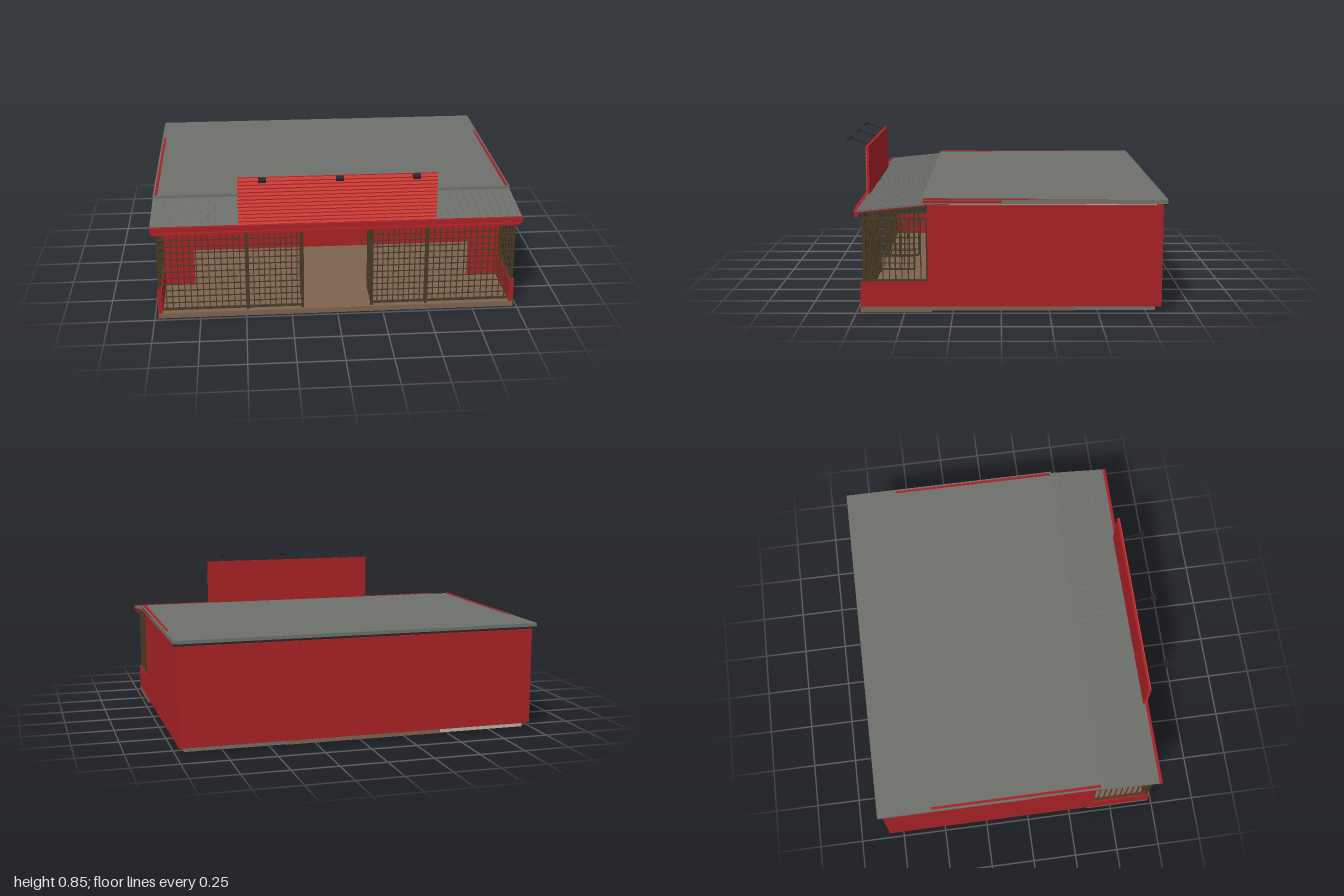
import * as THREE from 'three';

const material = (name, color, side = THREE.FrontSide) => {
  const m = new THREE.MeshStandardMaterial({ color, side });
  m.name = name;
  return m;
};

export function createModel() {
  const red = material('barn red', 0xa82125);
  const signRed = material('bright red', 0xd93c37);
  const grey = material('roof grey', 0x6e716b);
  const brown = material('floor brown', 0x7c6350);
  const beige = material('interior beige', 0xbfb29d);
  const iron = material('grille brown', 0x4a3924);
  const dark = material('fixture black', 0x242627);

  const model = new THREE.Group();
  model.name = 'storefront';

  // Box given by its minimum and maximum on each axis
  function box(name, mat, x0, x1, y0, y1, z0, z1, parent = model) {
    const mesh = new THREE.Mesh(new THREE.BoxGeometry(x1 - x0, y1 - y0, z1 - z0), mat);
    mesh.position.set((x0 + x1) / 2, (y0 + y1) / 2, (z0 + z1) / 2);
    mesh.name = name;
    parent.add(mesh);
    return mesh;
  }
  // Same box on both sides of x = 0
  function pair(name, mat, x0, x1, ...rest) {
    box(name, mat, x0, x1, ...rest);
    box(name, mat, -x1, -x0, ...rest);
  }
  // Sloped slab running between two (z, y) points on its centre line
  function slab(name, mat, x0, x1, za, ya, zb, yb, t, parent = model) {
    const mesh = new THREE.Mesh(
      new THREE.BoxGeometry(x1 - x0, t, Math.hypot(zb - za, yb - ya)), mat);
    mesh.position.set((x0 + x1) / 2, (ya + yb) / 2, (za + zb) / 2);
    mesh.rotation.x = -Math.atan2(yb - ya, zb - za);
    mesh.name = name;
    parent.add(mesh);
    return mesh;
  }

  // Floor, with separate slabs in the two back corners
  box('porchFloor', brown, -0.98, 0.98, 0, 0.03, 0.36, 0.73);
  box('mainFloor', brown, -0.95, 0.95, 0, 0.03, -0.38, 0.36);
  box('backFloor', brown, -0.46, 0.41, 0, 0.03, -0.8, -0.38);
  box('greySlab', grey, 0.41, 0.95, 0.003, 0.03, -0.8, -0.38);
  box('paleSlab', beige, -0.95, -0.46, 0.003, 0.03, -0.8, -0.38);

  // Walls with one wide low opening in the front
  pair('sideWall', red, 0.955, 0.98, 0.03, 0.56, -0.83, 0.38);
  box('backWall', red, -0.955, 0.955, 0.03, 0.56, -0.83, -0.805);
  pair('frontWall', red, 0.79, 0.955, 0.03, 0.56, 0.355, 0.38);
  box('frontHeader', red, -0.79, 0.79, 0.24, 0.56, 0.355, 0.38);
  box('backLining', beige, -0.95, 0.95, 0.03, 0.55, -0.805, -0.798);
  pair('sideLining', beige, 0.948, 0.955, 0.03, 0.55, -0.798, 0.355);

  // Main roof with tapering red edge boards
  slab('mainRoof', grey, -1, 1, -0.85, 0.583, 0.41, 0.581, 0.022);
  box('rearGutter', dark, -1, 1, 0.566, 0.576, -0.854, -0.825);
  slab('edgeBoard', red, 0.976, 0.99, -0.64, 0.584, 0.4, 0.59, 0.018);
  slab('edgeBoard', red, -0.99, -0.976, -0.64, 0.584, 0.4, 0.59, 0.018);
  pair('roofSideTrim', red, 0.99, 1.001, 0.578, 0.59, 0, 0.4);

  // Ribbed porch roof
  const porch = new THREE.Group();
  porch.name = 'porchRoof';
  model.add(porch);
  slab('porchSheet', grey, -1, 1, 0.39, 0.572, 0.745, 0.536, 0.01, porch);
  for (let i = 0; i <= 48; i++) {
    const x = -0.985 + i * 1.97 / 48;
    slab('roofRib', grey, x - 0.007, x + 0.007, 0.41, 0.576, 0.74, 0.542, 0.006, porch);
  }
  slab('porchLining', red, -0.98, 0.98, 0.39, 0.563, 0.735, 0.527, 0.008, porch);
  for (let i = 0; i <= 12; i++) {
    const x = -0.96 + i * 0.16;
    slab('rafter', iron, x - 0.006, x + 0.006, 0.39, 0.553, 0.73, 0.519, 0.012, porch);
  }
  box('fascia', red, -1, 1, 0.518, 0.546, 0.735, 0.752);
  box('lowerFascia', red, -0.99, 0.99, 0.5, 0.511, 0.733, 0.75);
  box('frontBeam', iron, -0.97, 0.97, 0.49, 0.52, 0.704, 0.716);

  // Low porch side walls
  pair('porchSideWall', red, 0.955, 0.98, 0.03, 0.16, 0.38, 0.727);

  // Framed grille in a local x-y plane
  function grille(name, w, y0, y1, nx, ny, frame = 0.011) {
    const g = new THREE.Group();
    g.name = name;
    const f = frame / 2, b = 0.0025;
    for (const x of [0, w]) box('frameUpright', iron, x - f, x + f, y0, y1, -f, f, g);
    for (const y of [y0, y1]) box('frameRail', iron, 0, w, y - f, y + f, -f, f, g);
    for (let i = 1; i < nx; i++) box('bar', iron, w * i / nx - b, w * i / nx + b, y0, y1, -b, b, g);
    for (let j = 1; j < ny; j++) {
      const y = y0 + (y1 - y0) * j / ny;
      box('bar', iron, 0, w, y - b, y + b, -b, b, g);
    }
    model.add(g);
    return g;
  }
  for (const s of [-1, 1]) {
    // Front panels either side of the entrance
    grille('entranceGrille', 0.295, 0.045, 0.49, 10, 12)
      .position.set(s > 0 ? 0.19 : -0.485, 0, 0.708);
    grille('outerGrille', 0.47, 0.045, 0.49, 14, 12)
      .position.set(s > 0 ? 0.495 : -0.965, 0, 0.708);
    // Panels returning inward beside the entrance
    const inner = grille('returnGrille', 0.2, 0.045, 0.49, 7, 12);
    inner.position.set(s * 0.19, 0, 0.708);
    inner.rotation.y = Math.PI / 2;
    // Upright bars above the low side wall
    const side = grille('sideGrille', 0.325, 0.168, 0.49, 10, 1);
    side.position.set(s * 0.967, 0, 0.708);
    side.rotation.y = Math.PI / 2;
    for (const x of [0.19, 0.49, 0.966]) {
      box('post', iron, s * x - 0.007, s * x + 0.007, 0.03, 0.5, 0.7, 0.716);
    }
  }

  // Sign board with horizontal lapped siding on its front
  box('signBoard', red, -0.53, 0.53, 0.54, 0.81, 0.723, 0.734);
  const profile = new THREE.Shape();
  const rows = 13, step = 0.268 / rows;
  profile.moveTo(0, 0.541);
  for (let i = 0; i < rows; i++) {
    const y = 0.541 + i * step;
    profile.lineTo(0.004, y);
    profile.lineTo(0.008, y + step * 0.35);
    profile.lineTo(0.004, y + step);
  }
  profile.lineTo(0, 0.541 + rows * step);
  const siding = new THREE.Mesh(
    new THREE.ExtrudeGeometry(profile, { depth: 1.06, bevelEnabled: false }), signRed);
  siding.rotation.y = -Math.PI / 2;
  siding.position.set(0.53, 0, 0.734);
  siding.name = 'signSiding';
  model.add(siding);

  // Three lamps on arms above the sign
  for (const x of [-0.4, 0, 0.4]) {
    slab('lampArm', dark, x - 0.003, x + 0.003, 0.73, 0.803, 0.835, 0.839, 0.006);
    const head = box('lampHead', dark, x - 0.02, x + 0.02, 0.831, 0.845, 0.828, 0.856);
    head.rotation.x = 0.35;
  }
  return model;
}
